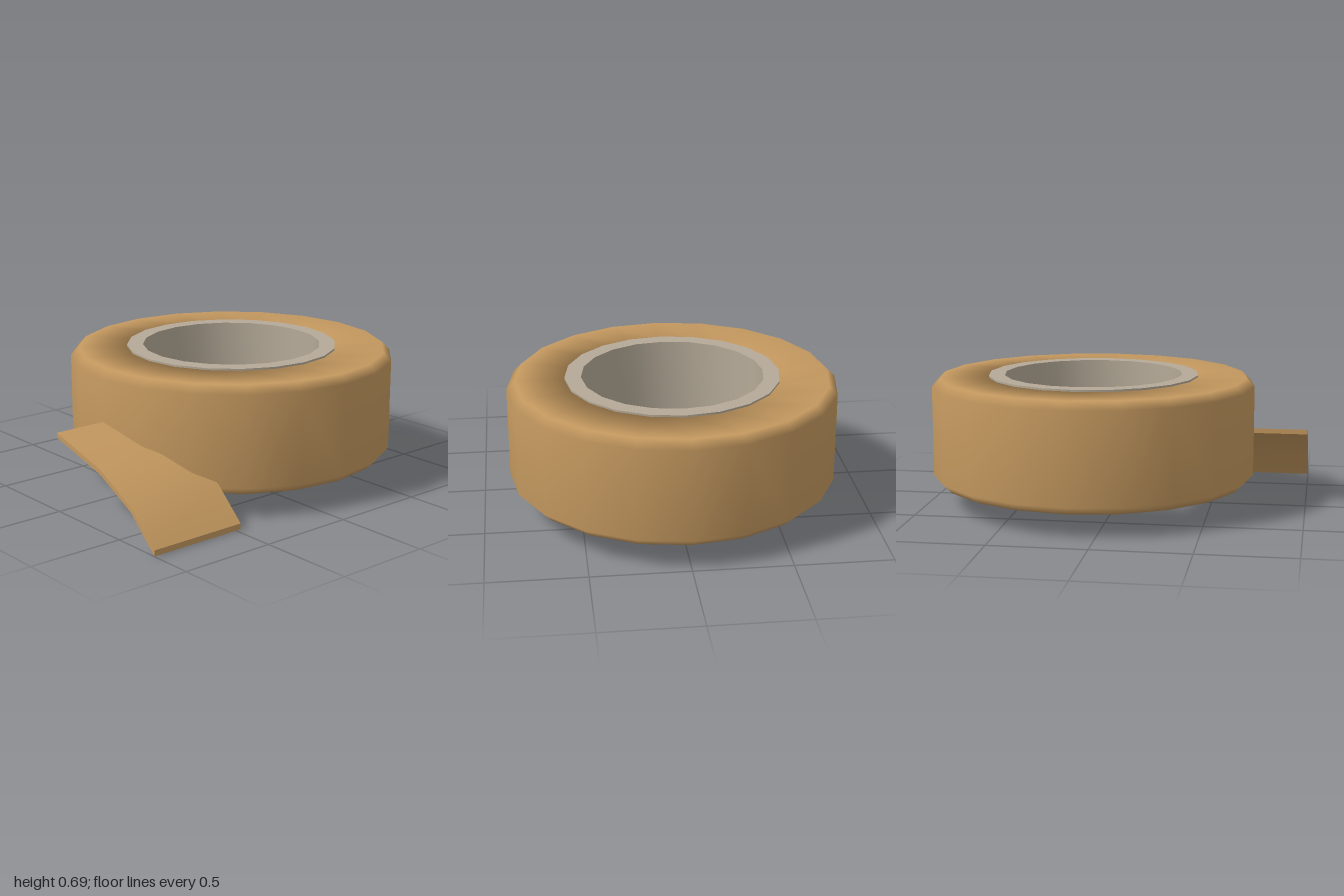
import * as THREE from 'three';
import { toCreasedNormals } from 'three/addons/utils/BufferGeometryUtils.js';

const SIDES = 20;
const CENTER_Z = -0.14;

// Ring from a closed profile of [radius, height], counterclockwise
function ring(name, profile, material, crease) {
  const points = profile.map(([r, y]) => new THREE.Vector2(r, y));
  points.push(points[0].clone());
  let geometry = new THREE.LatheGeometry(points, SIDES);
  if (crease) geometry = toCreasedNormals(geometry, crease);
  const mesh = new THREE.Mesh(geometry, material);
  mesh.name = name;
  mesh.position.z = CENTER_Z;
  return mesh;
}

export function createModel() {
  const group = new THREE.Group();
  group.name = 'tapeRoll';
  const tape = new THREE.MeshStandardMaterial({ color: 0xc69a60 });
  const card = new THREE.MeshStandardMaterial({ color: 0xb5aa98 });

  // Wound tape with chamfered rims, shaded smoothly over the edges
  group.add(ring('woundTape', [
    [0.55, 0.12], [0.818, 0.12], [0.86, 0.162], [0.86, 0.638], [0.818, 0.68], [0.55, 0.68],
  ], tape));

  // Cardboard core, standing slightly proud of the tape
  group.add(ring('core', [
    [0.475, 0.11], [0.56, 0.11], [0.56, 0.69], [0.475, 0.69],
  ], card, 0.7));

  // Loose end curling down to the ground
  const top = [[0, 0.413], [0.36, 0.314], [0.606, 0.185], [0.77, 0.03]];
  const bottom = [[0.77, 0.0], [0.595, 0.166], [0.355, 0.29], [0, 0.388]];
  const section = new THREE.Shape([...bottom.reverse(), ...top.reverse()].map(([x, y]) => new THREE.Vector2(x, y)));
  const strip = new THREE.ExtrudeGeometry(section, { depth: 0.53, bevelEnabled: false });
  const looseEnd = new THREE.Mesh(toCreasedNormals(strip, 0.7), tape);
  looseEnd.name = 'looseEnd';
  looseEnd.position.z = 0.47;
  group.add(looseEnd);

  return group;
}
